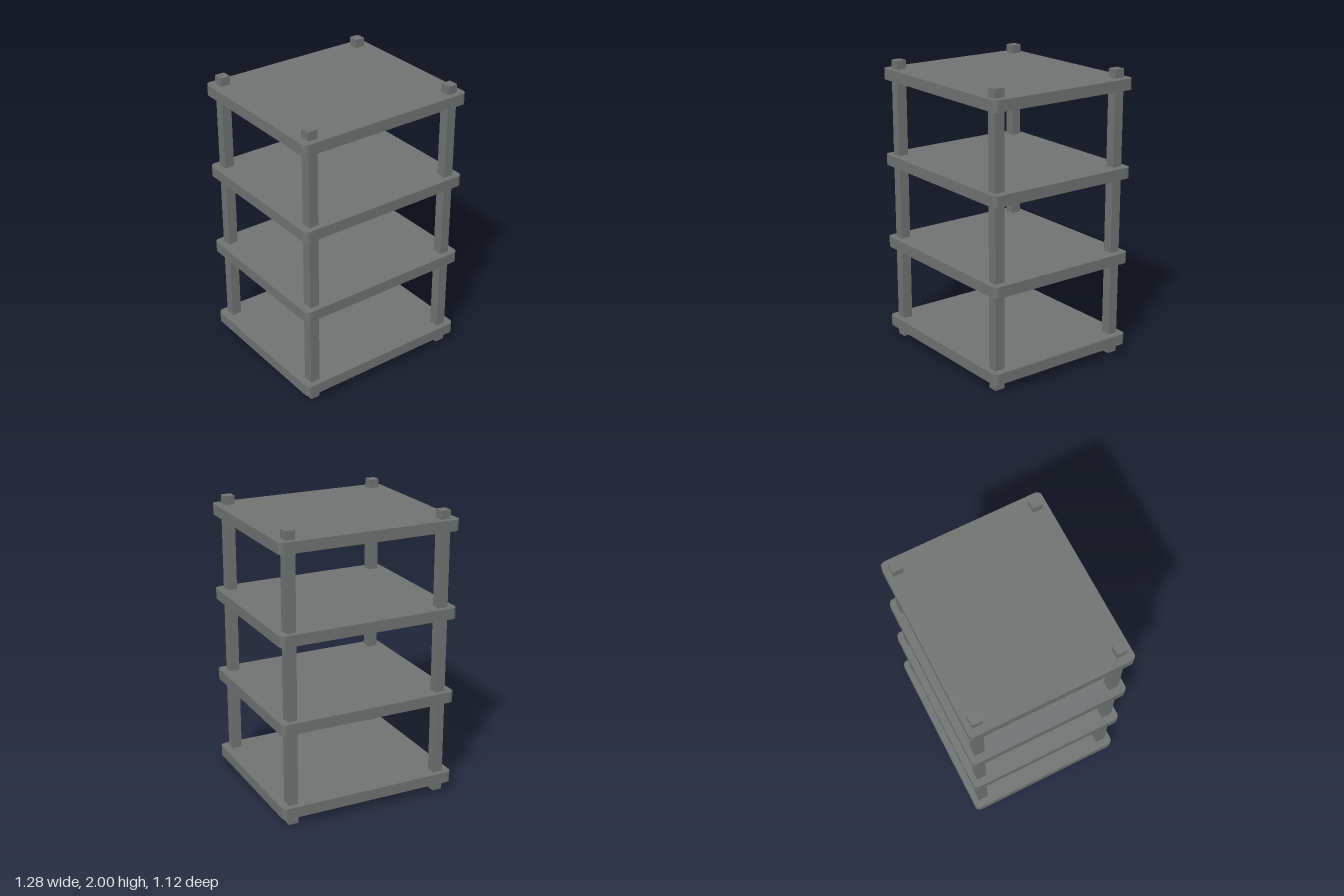
import * as THREE from 'three';

// Flat rectangular board with rounded corners, lying in the xz plane
function boardGeometry(width, depth, height, r) {
  const x = width / 2, z = depth / 2;
  const s = new THREE.Shape();
  s.moveTo(-x + r, -z);
  s.lineTo(x - r, -z);
  s.absarc(x - r, -z + r, r, -Math.PI / 2, 0, false);
  s.lineTo(x, z - r);
  s.absarc(x - r, z - r, r, 0, Math.PI / 2, false);
  s.lineTo(-x + r, z);
  s.absarc(-x + r, z - r, r, Math.PI / 2, Math.PI, false);
  s.lineTo(-x, -z + r);
  s.absarc(-x + r, -z + r, r, Math.PI, Math.PI * 1.5, false);
  const g = new THREE.ExtrudeGeometry(s, { depth: height, bevelEnabled: false, curveSegments: 6 });
  g.rotateX(-Math.PI / 2);
  return g;
}

export function createModel() {
  const group = new THREE.Group();
  group.name = 'shelfRack';
  const grey = new THREE.MeshStandardMaterial({ color: 0x707473 });
  grey.name = 'slateGrey';

  // Four evenly spaced shelves
  const shelfGeo = boardGeometry(1.276, 1.124, 0.076, 0.035);
  for (let i = 0; i < 4; i++) {
    const shelf = new THREE.Mesh(shelfGeo, grey);
    shelf.name = `shelf${i + 1}`;
    shelf.position.y = 0.065 + i * 0.6;
    group.add(shelf);
  }

  // Square corner posts running through every shelf
  const postGeo = new THREE.BoxGeometry(0.069, 2, 0.071);
  for (const [side, x] of [['Left', 0.55], ['Right', -0.55]]) {
    for (const [end, z] of [['front', 0.487], ['back', -0.487]]) {
      const post = new THREE.Mesh(postGeo, grey);
      post.name = `${end}${side}Post`;
      post.position.set(x, 1, z);
      group.add(post);
    }
  }
  return group;
}
